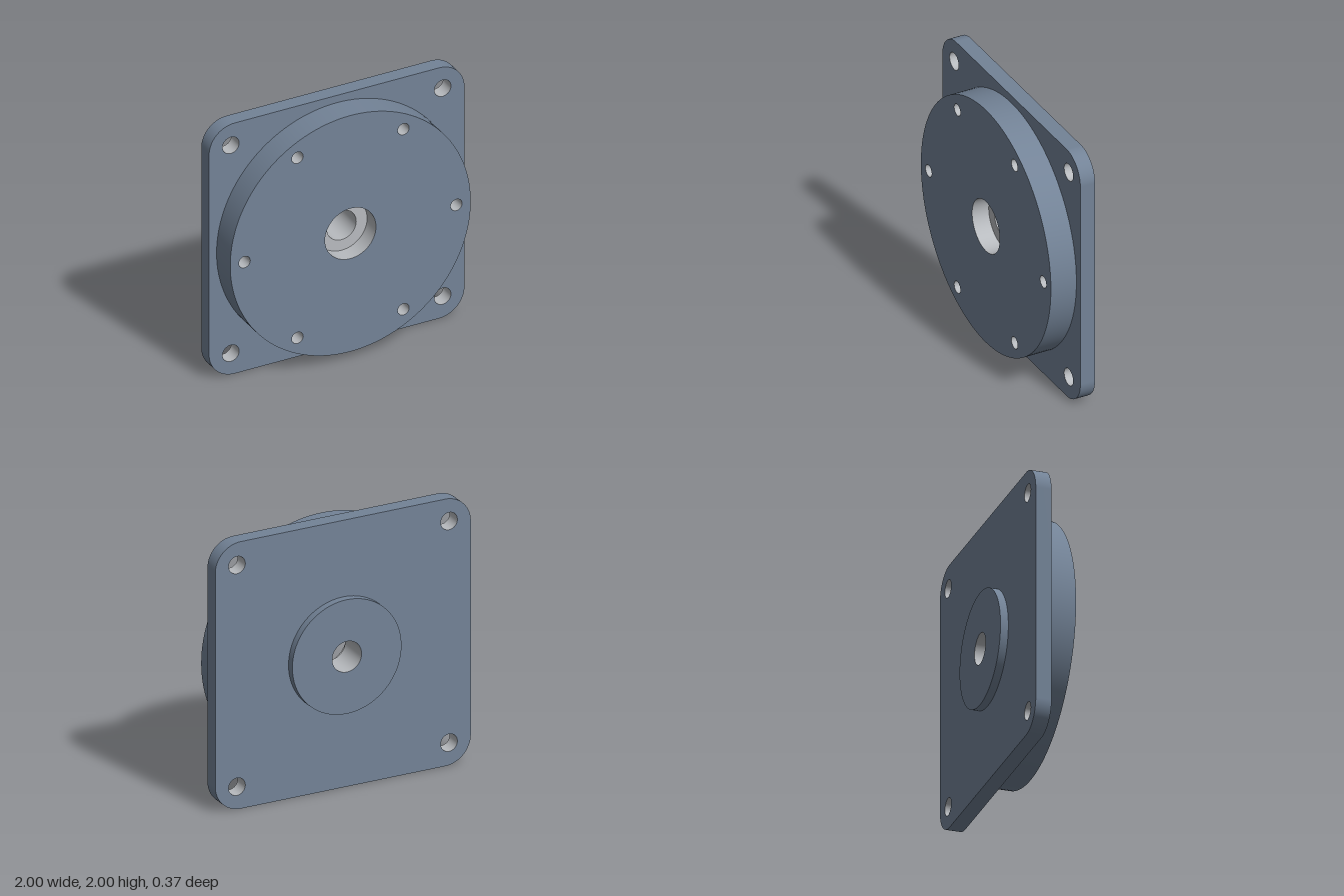
import * as THREE from 'three';

// Closed outline of a circle, counter-clockwise
function circle(x, y, r, n = 48) {
  return Array.from({ length: n }, (_, i) => {
    const a = (i / n) * Math.PI * 2;
    return new THREE.Vector2(x + r * Math.cos(a), y + r * Math.sin(a));
  });
}

// Closed outline of a rounded square, counter-clockwise
function roundedSquare(half, r, n = 16) {
  const pts = [];
  [[1, 1], [-1, 1], [-1, -1], [1, -1]].forEach(([sx, sy], q) => {
    for (let i = 0; i <= n; i++) {
      const a = (q + i / n) * Math.PI / 2;
      pts.push(new THREE.Vector2(
        sx * (half - r) + r * Math.cos(a), sy * (half - r) + r * Math.sin(a)));
    }
  });
  return pts;
}

// Smooth wall following an outline from z0 to z1; inward for holes
function wallGeometry(outline, z0, z1, inward) {
  const pts = inward ? [...outline].reverse() : outline;
  const pos = [], idx = [], n = pts.length;
  pts.forEach((p, i) => {
    pos.push(p.x, p.y, z0, p.x, p.y, z1);
    const a = 2 * i, b = 2 * ((i + 1) % n);
    idx.push(a, b, b + 1, a, b + 1, a + 1);
  });
  const g = new THREE.BufferGeometry();
  g.setAttribute('position', new THREE.Float32BufferAttribute(pos, 3));
  g.setIndex(idx);
  g.computeVertexNormals();
  return g;
}

// Flat face with holes at depth z, facing front or back
function faceGeometry(outline, holes, z, back) {
  const shape = new THREE.Shape(outline);
  holes.forEach(h => shape.holes.push(new THREE.Path(h)));
  const g = new THREE.ShapeGeometry(shape);
  if (back) g.rotateY(Math.PI); // every outline is mirror-symmetric
  return g.translate(0, 0, z);
}

export function createModel() {
  const bodyPaint = new THREE.MeshStandardMaterial({ color: 0x738397 });
  bodyPaint.name = 'slateBlue';
  const boreMetal = new THREE.MeshStandardMaterial({ color: 0xb8bbbf });
  boreMetal.name = 'machinedGrey';

  const model = new THREE.Group();
  model.name = 'flange';
  const body = new THREE.Group();
  body.position.y = 1;
  model.add(body);
  const add = (name, geometry, material) => {
    const mesh = new THREE.Mesh(geometry, material);
    mesh.name = name;
    body.add(mesh);
  };

  // Depth levels from back to front
  const zBack = -0.187, zPlateBack = -0.13, zPlateFront = -0.015, zFront = 0.185;
  const zBoreFloor = 0.055, zScrewFloor = 0.035;

  // Outlines
  const plate = roundedSquare(1, 0.2);
  const disc = circle(0, 0, 0.942, 128);
  const boss = circle(0, 0, 0.427, 96);
  const counterbore = circle(0, 0, 0.2, 64);
  const bore = circle(0, 0, 0.115, 64);
  const mounts = [[1, 1], [-1, 1], [-1, -1], [1, -1]]
    .map(([x, y]) => circle(x * 0.83, y * 0.83, 0.065));
  const screwCentres = Array.from({ length: 6 }, (_, i) =>
    [0.83 * Math.cos(i * Math.PI / 3), 0.83 * Math.sin(i * Math.PI / 3)]);
  const screws = screwCentres.map(([x, y]) => circle(x, y, 0.045));

  // Square mounting plate
  add('plateRim', wallGeometry(plate, zPlateBack, zPlateFront), bodyPaint);
  add('plateFront', faceGeometry(plate, [...mounts, disc], zPlateFront), bodyPaint);
  add('plateBack', faceGeometry(plate, [...mounts, boss], zPlateBack, true), bodyPaint);

  // Large front disc
  add('discRim', wallGeometry(disc, zPlateFront, zFront), bodyPaint);
  add('discFront', faceGeometry(disc, [counterbore, ...screws], zFront), bodyPaint);

  // Rear boss
  add('bossRim', wallGeometry(boss, zBack, zPlateBack), bodyPaint);
  add('bossBack', faceGeometry(boss, [bore], zBack, true), bodyPaint);

  // Stepped centre bore
  add('counterboreWall', wallGeometry(counterbore, zBoreFloor, zFront, true), boreMetal);
  add('counterboreFloor', faceGeometry(counterbore, [bore], zBoreFloor), boreMetal);
  add('boreWall', wallGeometry(bore, zBack, zBoreFloor, true), boreMetal);

  // Corner through holes
  mounts.forEach(h =>
    add('mountingHole', wallGeometry(h, zPlateBack, zPlateFront, true), boreMetal));

  // Blind screw holes in the disc
  screws.forEach(h => {
    add('screwHoleWall', wallGeometry(h, zScrewFloor, zFront, true), boreMetal);
    add('screwHoleFloor', faceGeometry(h, [], zScrewFloor), boreMetal);
  });

  return model;
}
